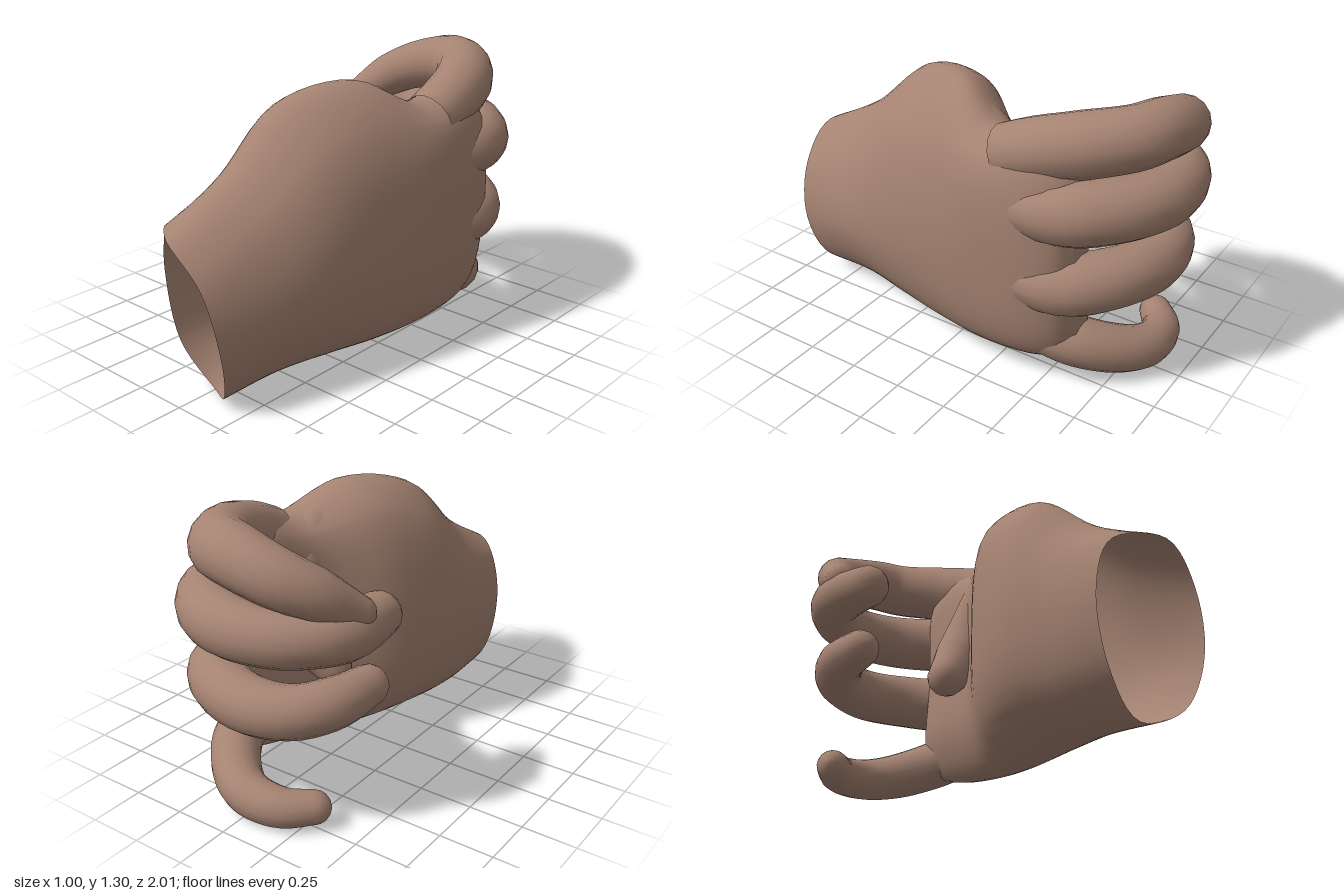
import * as THREE from 'three';

const skin = new THREE.MeshStandardMaterial({ color: 0xa58372, side: THREE.DoubleSide });
skin.name = 'skin';

// Smooth skin over closed rings of points, with a cap at the last ring
function loft(name, rings) {
  const n = rings[0].length, pos = [], idx = [];
  for (const ring of rings) for (const p of ring) pos.push(p.x, p.y, p.z);
  for (let i = 0; i < rings.length - 1; i++) {
    for (let j = 0; j < n; j++) {
      const k = (j + 1) % n, a = i * n + j, b = i * n + k;
      idx.push(a, a + n, b, b, a + n, b + n);
    }
  }
  const last = rings[rings.length - 1], base = (rings.length - 1) * n;
  const c = last.reduce((s, p) => s.add(p), new THREE.Vector3()).divideScalar(n);
  pos.push(c.x, c.y, c.z);
  for (let j = 0; j < n; j++) idx.push(rings.length * n, base + (j + 1) % n, base + j);
  const geo = new THREE.BufferGeometry();
  geo.setAttribute('position', new THREE.Float32BufferAttribute(pos, 3));
  geo.setIndex(idx);
  geo.computeVertexNormals();
  const mesh = new THREE.Mesh(geo, skin);
  mesh.name = name;
  return mesh;
}

// Tapered digit along a curve, closed by a rounded tip
function digit(name, points, radii) {
  const curve = new THREE.CatmullRomCurve3(points.map(p => new THREE.Vector3(...p)), false, 'centripetal');
  const steps = 32, sides = 16, rings = [];
  const { tangents, normals, binormals } = curve.computeFrenetFrames(steps);
  const ringAt = (c, i, r) => Array.from({ length: sides }, (_, j) => {
    const a = j / sides * Math.PI * 2;
    return c.clone().addScaledVector(normals[i], Math.cos(a) * r)
      .addScaledVector(binormals[i], -Math.sin(a) * r);
  });
  for (let i = 0; i <= steps; i++) {
    const f = i / steps * (radii.length - 1), k = Math.min(Math.floor(f), radii.length - 2);
    rings.push(ringAt(curve.getPointAt(i / steps), i, THREE.MathUtils.lerp(radii[k], radii[k + 1], f - k)));
  }
  const end = curve.getPointAt(1), r = radii[radii.length - 1];
  for (let k = 1; k <= 4; k++) {
    const a = k / 4.3 * Math.PI / 2;
    rings.push(ringAt(end.clone().addScaledVector(tangents[steps], r * Math.sin(a)), steps, r * Math.cos(a)));
  }
  return loft(name, rings);
}

// Palm cross-sections from wrist to knuckles: z, slant, then outline points
// (top, upper left, left, lower left, bottom, lower right, right, upper right)
const slant = [0.1, -0.04, -0.08, -0.09, -0.1, 0, 0.07, 0.1];
const sections = [
  [0.9, 1, [[-.02, .74], [-.2, .72], [-.27, .5], [-.2, .17], [0, .005], [.17, .07], [.24, .3], [.17, .58]]],
  [0.6, .6, [[-.03, .93], [-.21, .81], [-.28, .52], [-.2, .15], [.02, .02], [.2, .09], [.32, .38], [.2, .77]]],
  [0.33, .2, [[0, 1.19], [-.19, 1.02], [-.28, .6], [-.2, .18], [.06, .02], [.28, .11], [.385, .45], [.27, .98]]],
  [0.05, 0, [[.15, 1.25], [-.08, 1.12], [-.16, .6], [-.1, .18], [.12, .01], [.34, .11], [.43, .5], [.35, 1.04]]],
  [-0.2, 0, [[.26, 1.13], [.1, 1.04], [.06, .6], [.07, .2], [.19, .03], [.38, .12], [.46, .55], [.42, 1.03]]],
  [-0.45, 0, [[.28, 1.18], [.17, 1.08], [.14, .6], [.13, .24], [.23, .07], [.385, .15], [.46, .55], [.42, 1.06]]],
  [-0.58, 0, [[.28, 1.1], [.19, 1.02], [.18, .6], [.17, .25], [.24, .12], [.35, .19], [.42, .55], [.38, 1.01]]],
  [-0.64, 0, [[.28, 1.02], [.25, .98], [.24, .6], [.22, .25], [.25, .2], [.3, .24], [.35, .55], [.32, .98]]],
];

function palm() {
  const around = 48, along = 42;
  const outlines = sections.map(([z, s, pts]) => new THREE.CatmullRomCurve3(
    pts.map(([x, y], i) => new THREE.Vector3(x, y, z + s * slant[i])), true, 'centripetal'));
  const rings = Array.from({ length: along + 1 }, () => []);
  for (let j = 0; j < around; j++) {
    const line = new THREE.CatmullRomCurve3(outlines.map(o => o.getPoint(j / around)), false, 'centripetal');
    rings.forEach((ring, i) => ring.push(line.getPoint(i / along)));
  }
  return loft('palm', rings);
}

export function createModel() {
  const hand = new THREE.Group();
  hand.name = 'hand';
  hand.add(
    palm(),
    // Fingers start just inside the palm so the knuckles rise gradually from its back
    digit('indexFinger', [[.305, 1.04, -.27], [.305, 1.09, -.4], [.25, 1.14, -.6], [.13, 1.17, -.77],
      [.02, 1.175, -.82], [-.18, 1.13, -.825], [-.3, 1.075, -.76], [-.42, .97, -.61]],
      [.125, .135, .14, .135, .13, .12, .105, .07]),
    digit('middleFinger', [[.34, .83, -.28], [.35, .85, -.4], [.35, .875, -.6], [.18, .89, -.805],
      [-.02, .89, -.875], [-.23, .885, -.83], [-.37, .885, -.69], [-.39, .885, -.58], [-.385, .885, -.43]],
      [.105, .13, .14, .135, .13, .12, .115, .115, .1]),
    digit('ringFinger', [[.33, .51, -.28], [.34, .51, -.4], [.34, .525, -.59], [.18, .545, -.765],
      [-.04, .54, -.83], [-.23, .55, -.79], [-.34, .57, -.65], [-.37, .58, -.48]],
      [.105, .13, .135, .13, .125, .115, .11, .09]),
    digit('littleFinger', [[.27, .24, -.28], [.28, .23, -.4], [.25, .19, -.6], [.13, .135, -.755],
      [0, .105, -.83], [-.17, .09, -.82], [-.28, .09, -.74]],
      [.105, .115, .115, .11, .1, .09, .075]),
    // Thumb folds over the top edge and down across the palm
    digit('thumb', [[.15, 1.08, .05], [.2, 1.04, -.07], [.21, .93, -.2], [.16, .75, -.27],
      [.08, .6, -.28], [-.02, .48, -.26]], [.12, .13, .135, .13, .125, .09])
  );
  return hand;
}
